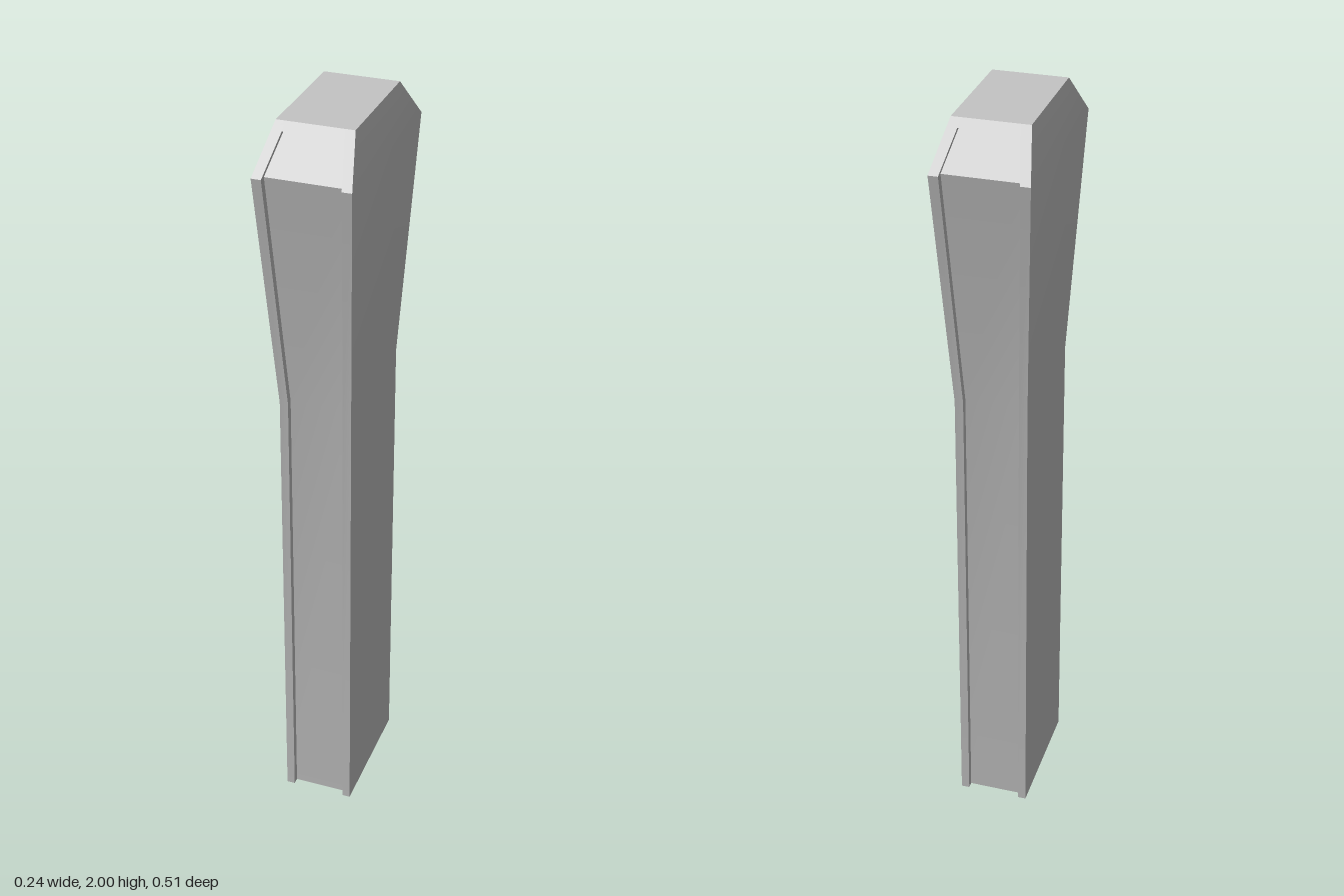
import * as THREE from 'three';
import { toCreasedNormals } from 'three/addons/utils/BufferGeometryUtils.js';

// Sections from the foot up: height, half width, half depth,
// groove half width and groove floor depth
const SECTIONS = [
  [0, 0.094, 0.175, 0.072, 0.157],
  [1.26, 0.094, 0.175, 0.072, 0.157],
  [1.89, 0.122, 0.254, 0.097, 0.236],
  [1.98, 0.101, 0.176, 0.075, 0.158],
  [1.98, 0.101, 0.176, 0.075, 0.176], // lip closing the groove
  [2, 0.096, 0.159, 0.071, 0.159],
];

// Twelve-point outline with a groove in the front and in the back
function outline([y, w, d, g, f]) {
  const half = [[-w, d], [-g, d], [-g, f], [g, f], [g, d], [w, d]];
  return [...half, ...half.map(([x, z]) => [-x, -z])]
    .map(([x, z]) => new THREE.Vector3(x, y, z));
}

function createShell() {
  const positions = [];
  const triangle = (a, b, c) => {
    if (new THREE.Triangle(a, b, c).getArea() < 1e-8) return;
    for (const p of [a, b, c]) positions.push(p.x, p.y, p.z);
  };
  const quad = (a, b, c, d) => {
    triangle(a, b, c);
    triangle(a, c, d);
  };
  const rings = SECTIONS.map(outline);
  for (let k = 0; k < rings.length - 1; k++) {
    const low = rings[k], high = rings[k + 1];
    for (let i = 0; i < low.length; i++) {
      const j = (i + 1) % low.length;
      quad(low[i], low[j], high[j], high[i]);
    }
  }
  // Flat top; the foot stays open
  const top = rings[rings.length - 1];
  quad(top[0], top[5], top[6], top[11]);

  const geometry = new THREE.BufferGeometry();
  geometry.setAttribute('position', new THREE.Float32BufferAttribute(positions, 3));
  return toCreasedNormals(geometry, THREE.MathUtils.degToRad(30));
}

export function createModel() {
  const grey = new THREE.MeshStandardMaterial({ color: 0xc4c4c4, side: THREE.DoubleSide });
  grey.name = 'light grey';

  const group = new THREE.Group();
  group.name = 'groovedPost';
  const shell = new THREE.Mesh(createShell(), grey);
  shell.name = 'postShell';
  group.add(shell);
  return group;
}
